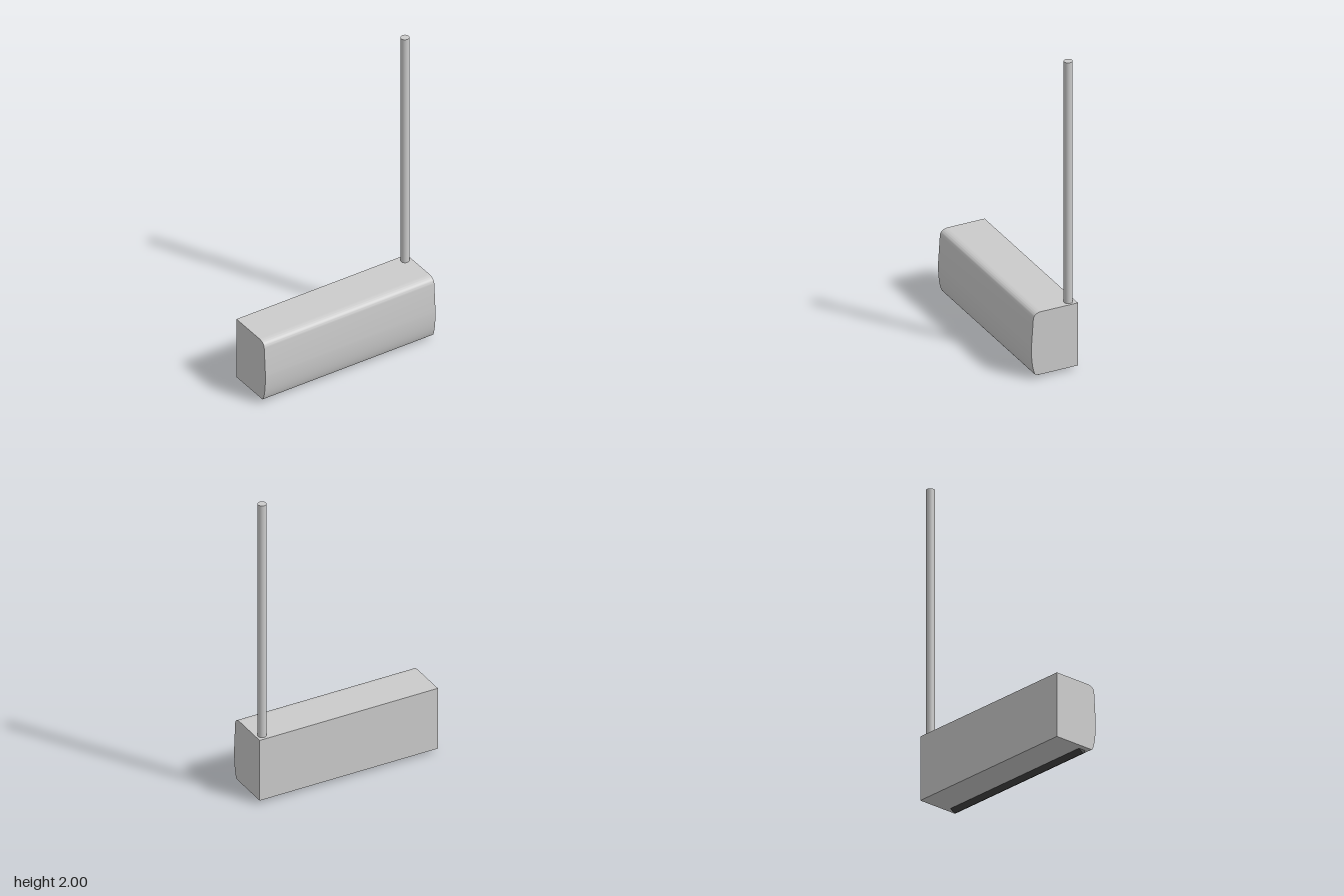
import * as THREE from 'three';
import { toCreasedNormals } from 'three/addons/utils/BufferGeometryUtils.js';

const grey = new THREE.MeshStandardMaterial({ color: 0xcccccc });
const dark = new THREE.MeshStandardMaterial({ color: 0x444444 });

// Extrudes a side profile, drawn as (-z, y), along x and centres it
function prism(name, shape, width, material) {
  const geometry = new THREE.ExtrudeGeometry(shape, { depth: width, bevelEnabled: false, curveSegments: 12 });
  geometry.translate(0, 0, -width / 2);
  geometry.rotateY(Math.PI / 2);
  const mesh = new THREE.Mesh(toCreasedNormals(geometry, 0.5), material);
  mesh.name = name;
  return mesh;
}

export function createModel() {
  const model = new THREE.Group();
  model.name = 'wallUnit';

  // Casing: flat back, rounded top front edge, belly curving in below
  const casing = new THREE.Shape();
  casing.moveTo(0.15, 0.022);
  casing.lineTo(0.15, 0.43);
  casing.lineTo(-0.085, 0.43);
  casing.bezierCurveTo(-0.12, 0.43, -0.138, 0.415, -0.14, 0.39);
  casing.lineTo(-0.152, 0.21);
  casing.bezierCurveTo(-0.153, 0.14, -0.146, 0.07, -0.13, 0.033);
  casing.quadraticCurveTo(-0.126, 0.022, -0.116, 0.022);
  casing.closePath();
  model.add(prism('casing', casing, 1.18, grey));

  // Tilted air flap showing under the front edge
  const flap = new THREE.Shape();
  flap.moveTo(-0.05, 0.024);
  flap.lineTo(-0.103, 0.024);
  flap.lineTo(-0.09, 0.002);
  flap.lineTo(-0.085, 0);
  flap.closePath();
  model.add(prism('airFlap', flap, 1.11, dark));

  // Pipe rising from the back left corner
  const pipe = new THREE.Mesh(new THREE.CylinderGeometry(0.026, 0.026, 1.58, 32), grey);
  pipe.name = 'pipe';
  pipe.position.set(0.55, 1.21, -0.107);
  model.add(pipe);

  return model;
}
